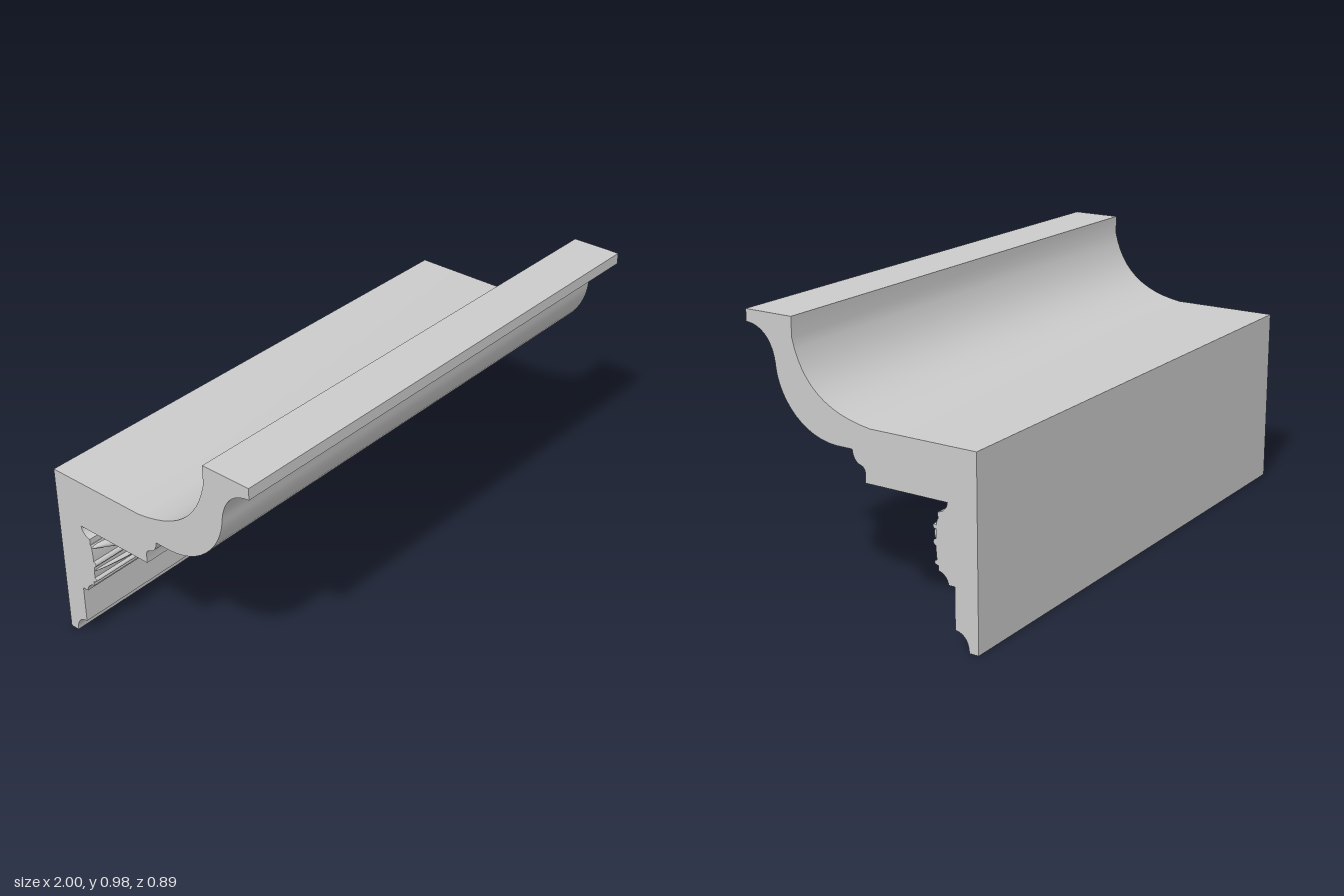
import * as THREE from 'three';
import { toCreasedNormals } from 'three/addons/utils/BufferGeometryUtils.js';

const material = new THREE.MeshStandardMaterial({ color: 0xcccccc });
const BAND_Y = 0.343, BAND_Z = -0.3;

function part(name, geometry, parent) {
  const mesh = new THREE.Mesh(geometry, material);
  mesh.name = name;
  parent.add(mesh);
  return mesh;
}

// Extrudes a (z, y) section along the full length in x.
function runAlongX(shape) {
  const g = new THREE.ExtrudeGeometry(shape, { depth: 2, bevelEnabled: false, curveSegments: 12 });
  g.rotateY(-Math.PI / 2).translate(1, 0, 0);
  return toCreasedNormals(g, 0.5);
}

function corniceSection() {
  const s = new THREE.Shape();
  // back and foot cove
  s.moveTo(-0.447, 0.663);
  s.lineTo(-0.447, 0);
  s.lineTo(-0.412, 0);
  s.bezierCurveTo(-0.412, 0.035, -0.395, 0.063, -0.36, 0.065);
  // frieze and carved band seat
  s.lineTo(-0.36, 0.21);
  s.lineTo(-0.337, 0.21);
  s.bezierCurveTo(-0.334, 0.232, -0.32, 0.245, -0.3, 0.25);
  s.lineTo(-0.3, 0.443);
  s.bezierCurveTo(-0.32, 0.447, -0.335, 0.46, -0.337, 0.481);
  // soffit and small ogee
  s.lineTo(-0.022, 0.481);
  s.lineTo(-0.022, 0.515);
  s.quadraticCurveTo(-0.02, 0.535, 0, 0.538);
  s.quadraticCurveTo(0.026, 0.55, 0.028, 0.584);
  // crown: bulge, cove and top fillet
  s.lineTo(0.09, 0.584);
  s.bezierCurveTo(0.22, 0.588, 0.315, 0.69, 0.33, 0.8);
  s.bezierCurveTo(0.335, 0.88, 0.375, 0.933, 0.447, 0.937);
  s.lineTo(0.447, 0.979);
  s.lineTo(0.258, 0.979);
  s.lineTo(0.258, 0.91);
  // hollow back of the crown
  s.bezierCurveTo(0.225, 0.765, 0.13, 0.685, -0.045, 0.663);
  s.closePath();
  return s;
}

// Tapered strand: path(t) gives x, y, z and the roll angle of its oval section.
function strandGeometry(path, halfWidth, thickness) {
  const g = new THREE.CylinderGeometry(1, 1, 1, 12, 40);
  const p = g.attributes.position;
  for (let i = 0; i < p.count; i++) {
    const t = 0.5 - p.getY(i);
    const c = path(t);
    const taper = 0.08 + 0.92 * Math.pow(Math.sin(Math.PI * t), 0.6);
    const w = p.getX(i) * halfWidth * taper, h = p.getZ(i) * thickness * taper;
    p.setXYZ(i,
      Math.min(c.x, 1),
      c.y + w * Math.sin(c.a) + h * Math.cos(c.a),
      c.z - w * Math.cos(c.a) + h * Math.sin(c.a));
  }
  g.computeVertexNormals();
  return g;
}

// Leaf wrapping from the top of the band over its face to the bottom.
function leaf(x0, length) {
  return strandGeometry((t) => {
    const a = Math.PI * t;
    return { x: x0 + length * t, y: BAND_Y + 0.064 * Math.cos(a), z: BAND_Z + 0.041 * Math.sin(a), a };
  }, 0.025, 0.021);
}

// Shallow arched tendril lying on the band beside the leaves.
function tendril(x0, x1, y, rise) {
  return strandGeometry((t) => ({
    x: x0 + (x1 - x0) * t, y: y + rise * Math.sin(Math.PI * t), z: BAND_Z + 0.012, a: Math.PI / 2,
  }), 0.009, 0.012);
}

export function createModel() {
  const model = new THREE.Group();
  part('corniceBody', runAlongX(corniceSection()), model);

  const band = new THREE.Group();
  band.name = 'carvedBand';
  model.add(band);

  // low rounded bed with lengthwise ribs
  const bed = new THREE.Shape();
  bed.absellipse(BAND_Z, BAND_Y, 0.009, 0.077, -Math.PI / 2, Math.PI / 2);
  part('bandBed', runAlongX(bed), band);
  for (const [y, r] of [[0.276, 0.009], [0.343, 0.013]]) {
    const rib = new THREE.Shape();
    rib.absellipse(BAND_Z, y, r + 0.006, r, -Math.PI / 2, Math.PI / 2);
    part('bandRib', runAlongX(rib), band);
  }

  // repeating twist of leaves followed by a bead
  for (const start of [-1, 0]) {
    const motif = new THREE.Group();
    motif.name = 'leafTwist';
    band.add(motif);
    for (let i = 0; i < 5; i++) part('leaf', leaf(start + 0.075 * i, 0.5 + 0.03 * (i % 2)), motif);
    part('upperTendril', tendril(start + 0.56, start + 1.08, 0.387, 0.02), motif);
    part('lowerTendril', tendril(start, start + 0.46, 0.318, -0.014), motif);
    const bead = part('bead', new THREE.SphereGeometry(0.04, 24, 16), motif);
    bead.scale.set(1.15, 0.98, 0.95);
    bead.position.set(start + 0.92, 0.347, -0.277);
  }
  return model;
}
